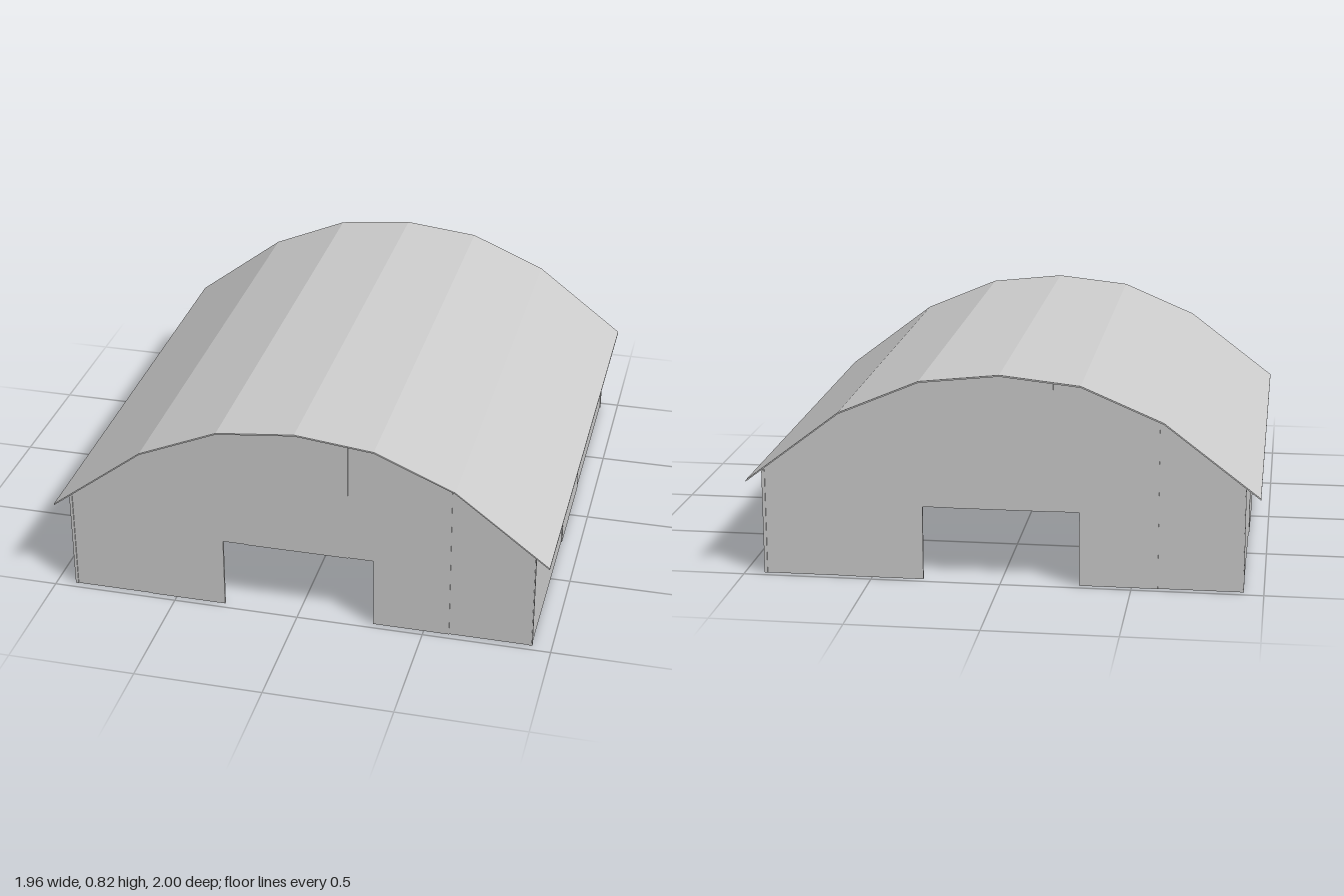
import * as THREE from 'three';

const ROOF = [[-0.98, 0.378], [-0.615, 0.656], [-0.305, 0.787], [0, 0.82], [0.305, 0.787], [0.615, 0.656], [0.98, 0.378]];
const ROOF_T = 0.006, WALL_T = 0.01, STEP = 0.003;
const HALF_W = 0.925, HALF_L = 0.977, DOOR_W = 0.3, DOOR_H = 0.29;

// underside of the roof at a given x
function roofY(x) {
  const i = ROOF.findIndex((p, k) => k > 0 && x <= p[0]);
  const [a, b] = [ROOF[i - 1], ROOF[i]];
  return a[1] + (b[1] - a[1]) * (x - a[0]) / (b[0] - a[0]) - ROOF_T;
}

function extrude(points, depth) {
  const shape = new THREE.Shape(points.map(([x, y]) => new THREE.Vector2(x, y)));
  return new THREE.ExtrudeGeometry(shape, { depth, bevelEnabled: false });
}

// outline of one gable sheet between two x positions, cut around the doorway
function gableOutline(a, b) {
  const bottomY = x => (Math.abs(x) < DOOR_W ? DOOR_H : 0);
  const pts = [[a, bottomY(a)]];
  for (const d of [-DOOR_W, DOOR_W]) {
    if (d > a && d < b) pts.push([d, d < 0 ? 0 : DOOR_H], [d, d < 0 ? DOOR_H : 0]);
  }
  pts.push([b, bottomY(b)], [b, roofY(b)]);
  for (const [x] of [...ROOF].reverse()) if (x > a && x < b) pts.push([x, roofY(x)]);
  pts.push([a, roofY(a)]);
  return pts;
}

export function createModel() {
  const model = new THREE.Group();
  const mat = new THREE.MeshStandardMaterial({ color: 0xcccccc, flatShading: true, side: THREE.DoubleSide });
  const add = (parent, name, geometry) => {
    const mesh = new THREE.Mesh(geometry, mat);
    mesh.name = name;
    parent.add(mesh);
    return mesh;
  };

  // thin faceted roof sheet with overhanging eaves
  const under = [...ROOF].reverse().map(([x, y]) => [x, y - ROOF_T]);
  add(model, 'roof', extrude([...ROOF, ...under], 2)).position.z = -1;

  // end walls with doorway, made of upright sheets that lap outward to the middle
  const gableBreaks = [-HALF_W, -0.6, -0.2, 0.2, 0.6, HALF_W];
  for (const side of [1, -1]) {
    const gable = new THREE.Group();
    gable.name = side > 0 ? 'frontWall' : 'backWall';
    for (let i = 0; i < 5; i++) {
      const sheet = add(gable, 'wallSheet', extrude(gableOutline(gableBreaks[i], gableBreaks[i + 1]), WALL_T));
      sheet.position.z = HALF_L - WALL_T - STEP * Math.abs(i - 2);
    }
    gable.rotation.y = side > 0 ? 0 : Math.PI;
    model.add(gable);
  }

  // side walls, sheets running up to the roof
  const sideBreaks = [-HALF_L + 0.002, -0.62, -0.22, 0.22, 0.62, HALF_L - 0.002];
  const height = roofY(HALF_W);
  for (const side of [1, -1]) {
    const wall = new THREE.Group();
    wall.name = side > 0 ? 'leftWall' : 'rightWall';
    for (let i = 0; i < 5; i++) {
      const length = sideBreaks[i + 1] - sideBreaks[i];
      const sheet = add(wall, 'wallSheet', new THREE.BoxGeometry(WALL_T, height, length));
      const lap = i === 2 ? 0 : STEP;
      sheet.position.set(side * (HALF_W - WALL_T / 2 - lap), height / 2, sideBreaks[i] + length / 2);
    }
    model.add(wall);
  }

  return model;
}
